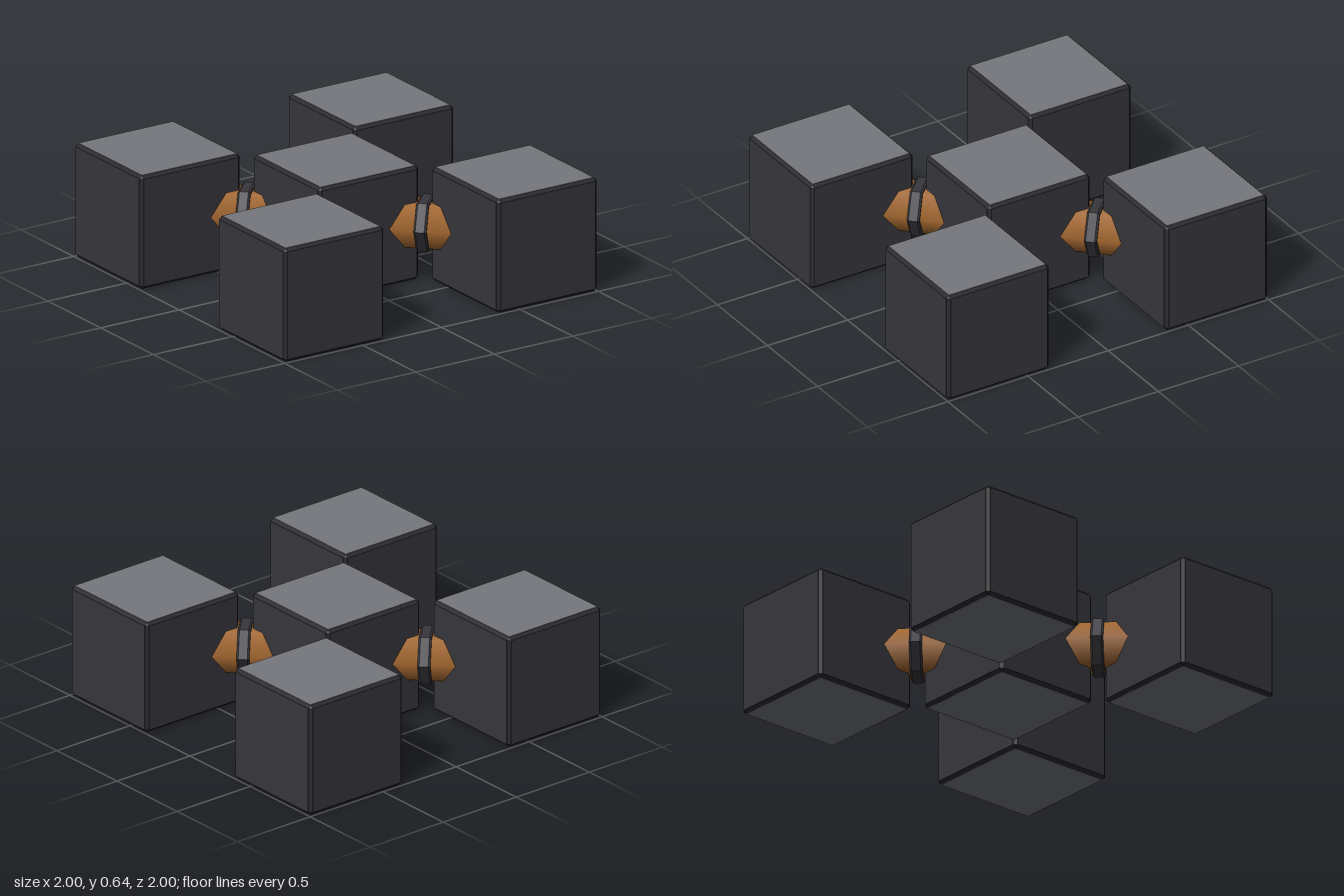
import * as THREE from 'three';
import { ConvexGeometry } from 'three/addons/geometries/ConvexGeometry.js';

const material = (name, color, flatShading = false) => {
  const m = new THREE.MeshStandardMaterial({ color, flatShading });
  m.name = name;
  return m;
};

const HALF = 0.32;        // half the side of a cube
const INSET = 0.302;      // half the side of a flat face, inside the chamfer
const SKIN = 0.002;       // how far face panels stand proud
const OUTER = 0.68;       // offset of the corner cubes
const RING = 0.34 * Math.SQRT2;

export function createModel() {
  const capGrey = material('cap grey', 0x75777d);
  const sideDark = material('side dark', 0x37363c);
  const edgeDark = material('edge dark', 0x2b2b30);
  const copper = material('copper', 0xa0652e);

  const model = new THREE.Group();
  model.name = 'cubeCluster';

  const add = (parent, name, geometry, mat) => {
    const mesh = new THREE.Mesh(geometry, mat);
    mesh.name = name;
    parent.add(mesh);
    return mesh;
  };

  // Chamfered cube body: hull of the corners of its six faces
  const corners = [];
  const a = HALF - SKIN;
  for (const x of [-1, 1]) for (const y of [-1, 1]) for (const z of [-1, 1]) {
    corners.push(
      new THREE.Vector3(x * a, y * INSET, z * INSET),
      new THREE.Vector3(x * INSET, y * a, z * INSET),
      new THREE.Vector3(x * INSET, y * INSET, z * a),
    );
  }
  const bodyGeometry = new ConvexGeometry(corners);
  const panelGeometry = new THREE.BoxGeometry(2 * INSET, 2 * INSET, SKIN);
  panelGeometry.translate(0, 0, HALF - SKIN / 2);

  const addCube = (name, x, z) => {
    const cube = new THREE.Group();
    cube.name = name;
    cube.position.set(x, HALF, z);
    add(cube, 'chamferedBody', bodyGeometry, edgeDark);
    for (let i = 0; i < 4; i++) {
      add(cube, 'sidePanel', panelGeometry, sideDark).rotation.y = i * Math.PI / 2;
    }
    add(cube, 'topPanel', panelGeometry, capGrey).rotation.x = -Math.PI / 2;
    add(cube, 'bottomPanel', panelGeometry, capGrey).rotation.x = Math.PI / 2;
    model.add(cube);
  };

  addCube('centreCube', 0, 0);
  for (const x of [-1, 1]) for (const z of [-1, 1]) {
    addCube(`${z > 0 ? 'front' : 'back'}${x > 0 ? 'Left' : 'Right'}Cube`, x * OUTER, z * OUTER);
  }

  // Six-sided rod and collar, laid along z with corners at the sides
  const layDown = (g) => g.rotateY(Math.PI / 2).rotateX(Math.PI / 2).translate(0, 0, RING);
  const rodGeometry = layDown(new THREE.CylinderGeometry(0.138, 0.138, 0.56, 6));
  const collarProfile = [
    [0.12, -0.034], [0.147, -0.034], [0.157, -0.024],
    [0.157, 0.024], [0.147, 0.034], [0.12, 0.034],
  ].map(([r, y]) => new THREE.Vector2(r, y));
  const collarGeometry = layDown(new THREE.LatheGeometry(collarProfile, 6)).toNonIndexed();
  collarGeometry.computeVertexNormals();

  // Diagonal connectors
  for (let i = 0; i < 4; i++) {
    const connector = new THREE.Group();
    connector.name = 'connector';
    connector.position.y = HALF;
    connector.rotation.y = Math.PI / 4 + i * Math.PI / 2;
    add(connector, 'rod', rodGeometry, copper);
    add(connector, 'collar', collarGeometry, sideDark);
    model.add(connector);
  }

  return model;
}
